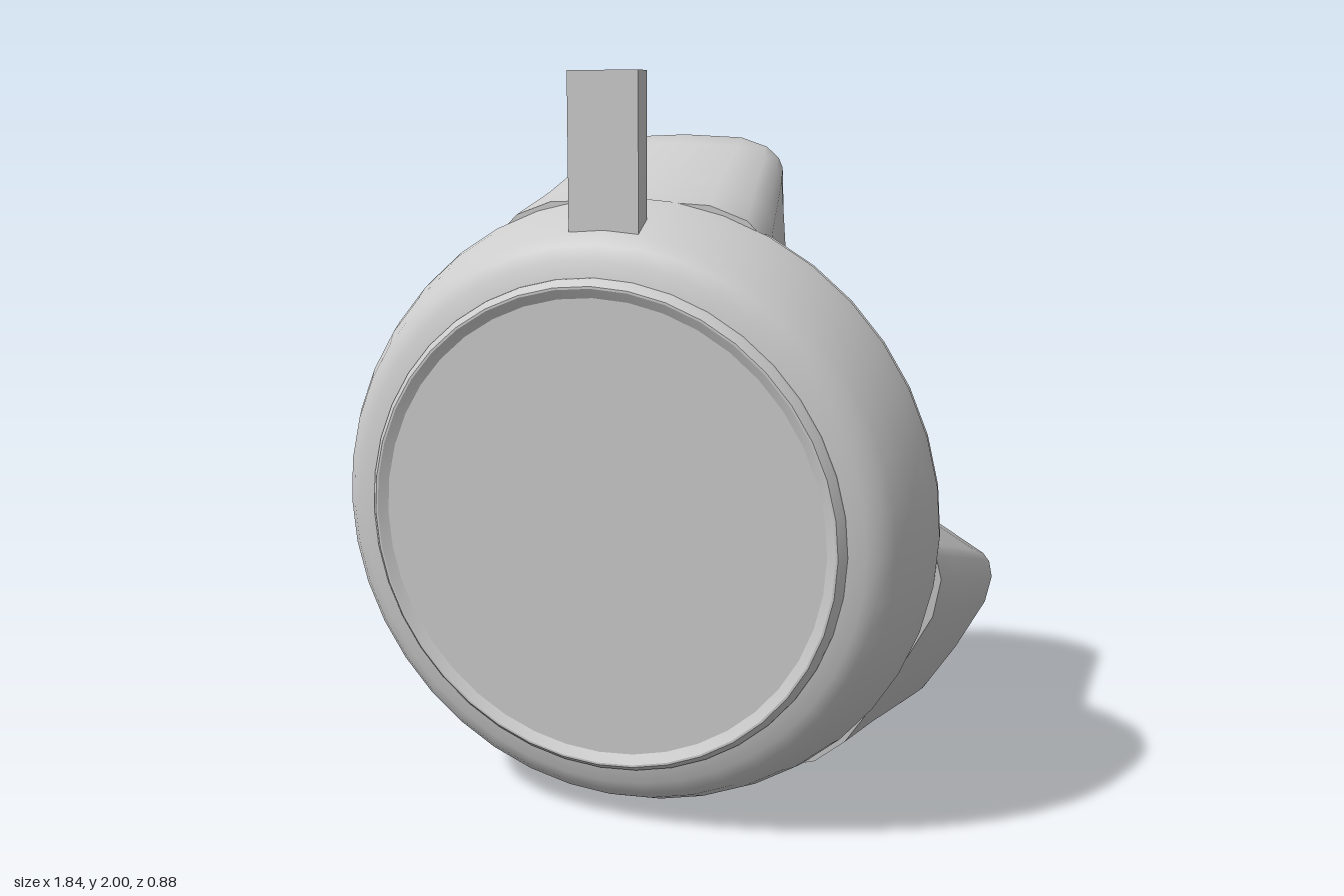
import * as THREE from 'three';
import { toCreasedNormals } from 'three/addons/utils/BufferGeometryUtils.js';

const smooth = new THREE.MeshStandardMaterial({ color: 0xcccccc });
const faceted = new THREE.MeshStandardMaterial({ color: 0xcccccc, flatShading: true });

function add(parent, name, geometry, material = smooth) {
  const mesh = new THREE.Mesh(geometry, material);
  mesh.name = name;
  parent.add(mesh);
  return mesh;
}

// Turned part around the z axis, from [radius, z] pairs running back to front
function turned(profile) {
  const geometry = new THREE.LatheGeometry(profile.map(([r, z]) => new THREE.Vector2(r, z)), 40);
  return geometry.rotateX(Math.PI / 2);
}

// One cross-section of a foot: sharp inner corners, tapered sides, rounded outer corners
function footSection([z, inner, outer, wIn, wOut, c]) {
  const half = [
    [wIn * 0.96, inner], [wIn, inner + 0.025], [wOut, outer - c],
    [wOut * 0.96, outer - c * 0.7], [wOut * 0.84, outer - c * 0.36], [wOut * 0.58, outer - c * 0.08],
  ];
  const mirrored = half.map(([x, y]) => [-x, y]).reverse();
  return [[0, inner], ...half, [0, outer], ...mirrored].map(([x, y]) => [x, y, z]);
}

// Foot lofted through [z, inner radius, outer radius, inner and outer half width, corner]
function footGeometry() {
  const rings = [
    [0.15, 0.3, 0.836, 0.43, 0.385, 0.13],
    [0, 0.42, 0.885, 0.4, 0.35, 0.13],
    [-0.24, 0.632, 0.967, 0.32, 0.305, 0.1],
    [-0.3, 0.685, 0.987, 0.297, 0.29, 0.09],
    [-0.345, 0.726, 0.968, 0.265, 0.255, 0.08],
    [-0.385, 0.77, 0.935, 0.21, 0.2, 0.06],
    [-0.415, 0.83, 0.895, 0.145, 0.14, 0.025],
  ].map(footSection);
  const n = rings[0].length;
  const index = [];
  for (let i = 0; i < rings.length - 1; i++) {
    for (let j = 0; j < n; j++) {
      const k = (j + 1) % n;
      const a = i * n + j, b = i * n + k, c = a + n, d = b + n;
      index.push(a, c, b, b, c, d);
    }
  }
  // End caps
  const last = (rings.length - 1) * n;
  for (let j = 1; j < n - 1; j++) {
    index.push(0, j, j + 1, last, last + j + 1, last + j);
  }
  const geometry = new THREE.BufferGeometry();
  geometry.setAttribute('position', new THREE.Float32BufferAttribute(rings.flat(2), 3));
  geometry.setIndex(index);
  return toCreasedNormals(geometry, 0.9);
}

export function createModel() {
  const model = new THREE.Group();
  model.name = 'roundDevice';

  // The body and feet lean forward very slightly
  const body = new THREE.Group();
  body.name = 'body';
  body.position.y = 0.842;
  body.rotation.x = 0.018;
  model.add(body);

  // Domed front housing
  const housing = turned([
    [0.78, 0.148], [0.842, 0.148], [0.828, 0.2], [0.802, 0.27], [0.768, 0.335],
    [0.74, 0.365], [0.705, 0.383], [0.65, 0.394],
  ]);
  add(body, 'frontHousing', toCreasedNormals(housing, 0.7));

  // Bevelled rim with the face plate set slightly into it
  const rim = turned([[0.662, 0.385], [0.66, 0.398], [0.643, 0.418], [0.637, 0.418], [0.612, 0.404]]);
  add(body, 'faceRim', toCreasedNormals(rim, 0.4));
  add(body, 'facePlate', turned([[0.613, 0.404], [0, 0.404]]), faceted);

  // Faceted back cover
  const cover = turned([
    [0, 0], [0.615, 0], [0.72, 0.027], [0.82, 0.092], [0.838, 0.118], [0.832, 0.135], [0.78, 0.15],
  ]);
  add(body, 'backCover', cover, faceted);

  // Three feet evenly spaced around the back, the lower two turned inward a little
  const hinge = new THREE.Vector3(0, 0.6, 0.1);
  const foot = footGeometry().translate(0, -hinge.y, -hinge.z);
  for (let i = 0; i < 3; i++) {
    const arm = new THREE.Group();
    arm.name = 'footMount';
    arm.rotation.z = i * Math.PI * 2 / 3;
    body.add(arm);
    const mesh = add(arm, 'foot', foot);
    mesh.position.copy(hinge);
    mesh.rotation.x = i === 0 ? 0 : -0.085;
  }

  // Flat upright tab at the top
  add(model, 'topTab', new THREE.BoxGeometry(0.19, 0.41, 0.06)).position.set(0, 1.795, 0.31);

  return model;
}
